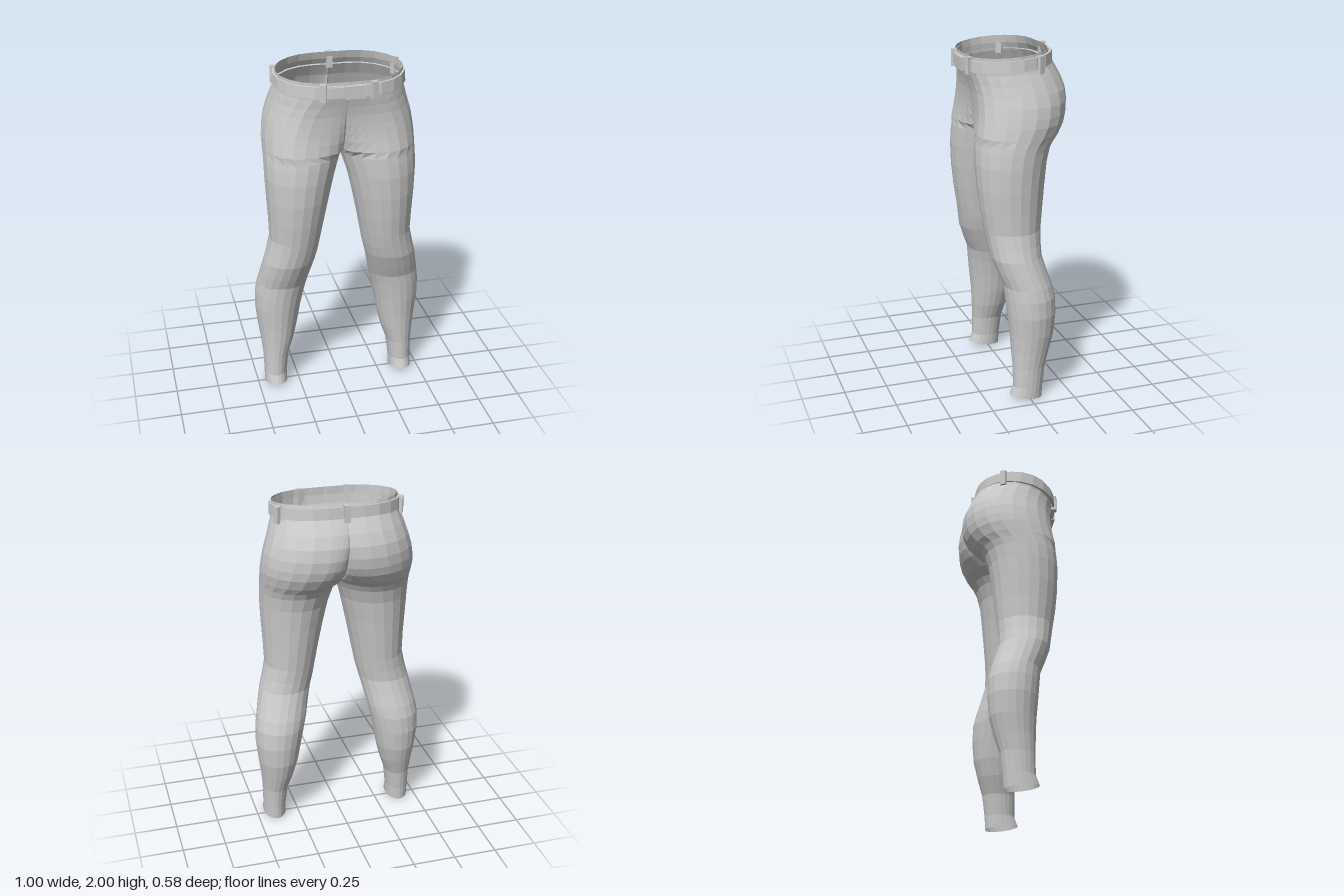
import * as THREE from 'three';
import { mergeGeometries } from 'three/addons/utils/BufferGeometryUtils.js';

const Q = 5; // segments per quarter of a cross-section

// Leg sections: [y, inner x, outer x, front z, back z]
const LEG = [
  [0.012, 0.325, 0.46, 0.11, -0.08],
  [0.08, 0.325, 0.46, 0.09, -0.085],
  [0.2, 0.31, 0.463, 0.09, -0.1],
  [0.3, 0.275, 0.473, 0.095, -0.13],
  [0.4, 0.25, 0.487, 0.1, -0.155],
  [0.52, 0.228, 0.5, 0.112, -0.166],
  [0.62, 0.207, 0.498, 0.122, -0.163],
  [0.69, 0.19, 0.487, 0.13, -0.147],
  [0.76, 0.175, 0.472, 0.158, -0.125],
  [0.85, 0.153, 0.452, 0.19, -0.1],
  [0.92, 0.135, 0.433, 0.202, -0.1],
  [1.0, 0.12, 0.416, 0.215, -0.105],
  [1.12, 0.097, 0.42, 0.235, -0.117],
  [1.25, 0.07, 0.428, 0.25, -0.13],
  [1.38, 0.04, 0.434, 0.256, -0.146],
  [1.46, 0.015, 0.435, 0.253, -0.168],
  [1.5, 0, 0.435, 0.25, -0.19],
];

// Hip sections, open at x = 0: [..., front peak x, back peak x, front seam z, back seam z]
const HIPS = [
  [1.54, 0, 0.435, 0.246, -0.232, 0.24, 0.18, 0.14, -0.08],
  [1.6, 0, 0.435, 0.236, -0.27, 0.23, 0.15, 0.17, -0.18],
  [1.65, 0, 0.43, 0.23, -0.287, 0.22, 0.13, 0.187, -0.225],
  [1.71, 0, 0.42, 0.227, -0.295, 0.2, 0.115, 0.205, -0.252],
  [1.77, 0, 0.402, 0.228, -0.288, 0.18, 0.11, 0.218, -0.265],
  [1.83, 0, 0.383, 0.235, -0.263, 0.15, 0.1, 0.232, -0.253],
  [1.89, 0, 0.364, 0.247, -0.228, 0.11, 0.1, 0.248, -0.223],
  [1.94, 0, 0.356, 0.253, -0.2, 0.1, 0.1, 0.256, -0.2],
  [1.985, 0, 0.355, 0.252, -0.186, 0.1, 0.1, 0.256, -0.187],
];

// Belt section swept round the waist: inner bottom, outer bottom, outer top, inner top
const beltRow = (y, g) => [y, 0, 0.355 + g, 0.252 + g, -0.202 - g, 0.1, 0.1, 0.256 + g, -0.202 - g];
const BELT = [beltRow(1.905, 0), beltRow(1.905, 0.017), beltRow(1.968, 0.013), beltRow(1.968, -0.002)];

// The waist drops towards the front, the ankle hems rise
function tilt(y, z) {
  if (y > 1.7) return -0.09 * z * Math.min(1, (y - 1.7) / 0.18);
  return y < 0.05 ? 0.14 * z : 0;
}

// Points of one side's section, from front seam round the outside to back seam
function section([y, xIn, xOut, zF, zB, cF = (xIn + xOut) / 2, cB = cF, sF = (zF + zB) / 2, sB = sF]) {
  const pts = [];
  const mid = (zF + zB) / 2;
  for (let i = 0; i <= 4 * Q; i++) {
    const a = (i / Q) * Math.PI / 2;
    const front = i <= 2 * Q;
    const inner = i < Q || i > 3 * Q;
    const c = front ? cF : cB;
    const seam = inner ? (front ? sF : sB) : mid;
    const k = Math.abs(Math.sin(a));
    const x = c - Math.cos(a) * (inner ? c - xIn : xOut - c);
    const z = seam + ((front ? zF : zB) - seam) * k;
    pts.push([x, y + tilt(y, z), z]);
  }
  return pts;
}

// Skin over a stack of sections; side -1 mirrors it
function loft(rows, side) {
  const n = 4 * Q + 1;
  const pos = [];
  const index = [];
  rows.forEach((row) => section(row).forEach(([x, y, z]) => pos.push(x * side, y, z)));
  for (let r = 0; r < rows.length - 1; r++) {
    for (let i = 0; i < n - 1; i++) {
      const a = r * n + i, b = a + 1, c = b + n, d = a + n;
      if (side > 0) index.push(a, b, c, a, c, d);
      else index.push(a, c, b, a, d, c);
    }
  }
  const g = new THREE.BufferGeometry();
  g.setAttribute('position', new THREE.Float32BufferAttribute(pos, 3));
  g.setIndex(index);
  g.computeVertexNormals();
  return g;
}

export function createModel() {
  const group = new THREE.Group();
  const cloth = new THREE.MeshStandardMaterial({ color: 0xcccccc, flatShading: true, side: THREE.DoubleSide });

  const add = (name, geometry) => {
    const mesh = new THREE.Mesh(geometry, cloth);
    mesh.name = name;
    group.add(mesh);
    return mesh;
  };
  const bothSides = (rows) => mergeGeometries([loft(rows, 1), loft(rows, -1)]);

  add('trousers', bothSides([...LEG, ...HIPS]));
  add('belt', bothSides(BELT));

  // Belt loops: [name, x, y, z, facing x, facing z]
  const loops = [
    ['backLoop', 0, 1.951, -0.213, 0, -1],
    ...[1, -1].flatMap((s) => [
      [s > 0 ? 'leftFrontLoop' : 'rightFrontLoop', s * 0.14, 1.912, 0.26, s * 0.3, 1],
      [s > 0 ? 'leftSideLoop' : 'rightSideLoop', s * 0.345, 1.932, -0.075, s * 0.9, -0.44],
    ]),
  ];
  for (const [name, x, y, z, nx, nz] of loops) {
    const loop = add(name, new THREE.BoxGeometry(0.034, 0.095, 0.034));
    loop.position.set(x, y, z);
    loop.rotation.y = Math.atan2(nx, nz);
  }

  // Buckle plate and the strap end beside it
  const buckle = add('buckle', new THREE.BoxGeometry(0.11, 0.072, 0.024));
  buckle.position.set(0.033, 1.912, 0.277);
  const strap = add('strapEnd', new THREE.BoxGeometry(0.1, 0.058, 0.012));
  strap.position.set(-0.06, 1.912, 0.27);
  strap.rotation.y = -0.08;

  return group;
}
